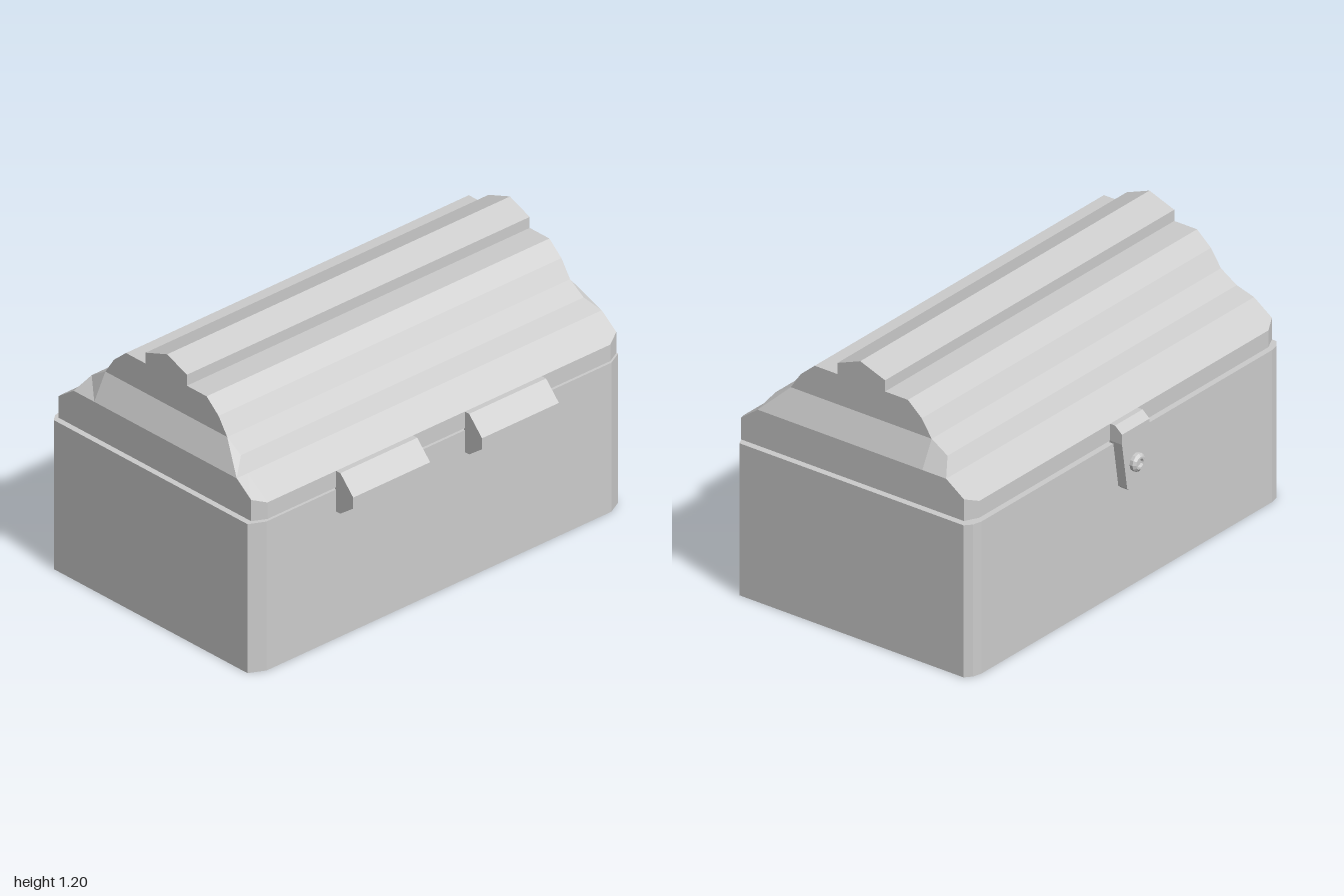
import * as THREE from 'three';
import { ConvexGeometry } from 'three/addons/geometries/ConvexGeometry.js';

const material = new THREE.MeshStandardMaterial({ color: 0xcccccc, flatShading: true });

function part(name, geometry) {
  const mesh = new THREE.Mesh(geometry, material);
  mesh.name = name;
  return mesh;
}

// Extrudes a [z, y] profile along x between x0 and x1
function prismX(profile, x0, x1) {
  const shape = new THREE.Shape(profile.map(([z, y]) => new THREE.Vector2(-z, y)));
  return new THREE.ExtrudeGeometry(shape, { depth: x1 - x0, bevelEnabled: false })
    .rotateY(Math.PI / 2).translate(x0, 0, 0);
}

// Extrudes an [x, z] outline upwards from y = 0
function prismY(outline, height) {
  const shape = new THREE.Shape(outline.map(([x, z]) => new THREE.Vector2(x, -z)));
  return new THREE.ExtrudeGeometry(shape, { depth: height, bevelEnabled: false })
    .rotateX(-Math.PI / 2);
}

// Joins two [z, y] loops at x = side * x0 and side * x1, closing the outer one
function endCap(inner, outer, x0, x1, side) {
  const pos = [];
  const tri = (a, b, c) => pos.push(...a, ...(side > 0 ? b : c), ...(side > 0 ? c : b));
  const I = inner.map(([z, y]) => [side * x0, y, z]);
  const O = outer.map(([z, y]) => [side * x1, y, z]);
  for (let i = 0; i < I.length; i++) {
    const j = (i + 1) % I.length;
    tri(I[i], O[i], I[j]);
    if (O[i] !== O[j]) tri(O[i], O[j], I[j]);
    if (i > 0 && j > 0) tri(O[0], O[j], O[i]);
  }
  const geometry = new THREE.BufferGeometry();
  geometry.setAttribute('position', new THREE.Float32BufferAttribute(pos, 3));
  geometry.computeVertexNormals();
  return geometry;
}

export function createModel() {
  const model = new THREE.Group();
  model.name = 'chest';

  // Box with cut corners
  model.add(part('base', prismY([
    [-0.93, 0.585], [0.93, 0.585], [1, 0.55], [1, -0.58], [0.97, -0.605], [0.93, -0.615],
    [-0.93, -0.615], [-0.97, -0.605], [-1, -0.58], [-1, 0.55],
  ], 0.68)));

  // Stepped lid with a ridge along the top
  const front = [[0.585, 0.69], [0.585, 0.765], [0.47, 0.85], [0.43, 0.915], [0.35, 0.965]];
  const back = [[-0.36, 0.965], [-0.44, 0.915], [-0.48, 0.85], [-0.6, 0.765], [-0.6, 0.69]];
  const crown = [
    [0.3, 1.04], [0.23, 1.1], [0.115, 1.1], [0.115, 1.15], [0, 1.195],
    [-0.125, 1.15], [-0.125, 1.1], [-0.24, 1.1], [-0.31, 1.04],
  ];
  const lid = new THREE.Group();
  lid.name = 'lid';
  lid.add(part('lidBody', prismX([...front, ...crown, ...back], -0.925, 0.925)));

  // Sloped lid ends with cut corners
  const outer = [
    [0.555, 0.69], [0.555, 0.787], [0.47, 0.85], [0.47, 0.85], [0.35, 0.85],
    [-0.36, 0.85], [-0.48, 0.85], [-0.48, 0.85], [-0.57, 0.787], [-0.57, 0.69],
  ];
  for (const side of [1, -1]) {
    lid.add(part(side > 0 ? 'leftLidEnd' : 'rightLidEnd',
      endCap([...front, ...back], outer, 0.925, 0.985, side)));
  }
  model.add(lid);

  // Two faceted hinges
  const hinge = [[0.58, 0.58], [0.61, 0.58], [0.685, 0.635], [0.685, 0.685], [0.61, 0.765], [0.58, 0.765]];
  model.add(part('leftHinge', prismX(hinge, 0.14, 0.555)));
  model.add(part('rightHinge', prismX(hinge, -0.555, -0.14)));

  // Tapered clasp with a sloped top edge
  const corners = [];
  for (const s of [1, -1]) {
    for (const z of [-0.595, -0.625, -0.66]) {
      const top = z === -0.66 ? 0.735 : 0.765;
      for (const [x, y] of [[0.088, top], [0.088, 0.69], [0.055, 0.48], [0.042, 0.468]]) {
        corners.push(new THREE.Vector3(s * x, y, z));
      }
    }
  }
  model.add(part('clasp', new ConvexGeometry(corners)));

  // Round stud with a recessed middle
  const studProfile = [[0.04, 0], [0.04, 0.015], [0.028, 0.025], [0.019, 0.025], [0.015, 0.014], [0, 0.014]]
    .map(([r, h]) => new THREE.Vector2(r, h));
  model.add(part('claspStud',
    new THREE.LatheGeometry(studProfile, 12).rotateX(-Math.PI / 2).translate(0, 0.58, -0.66)));

  return model;
}
